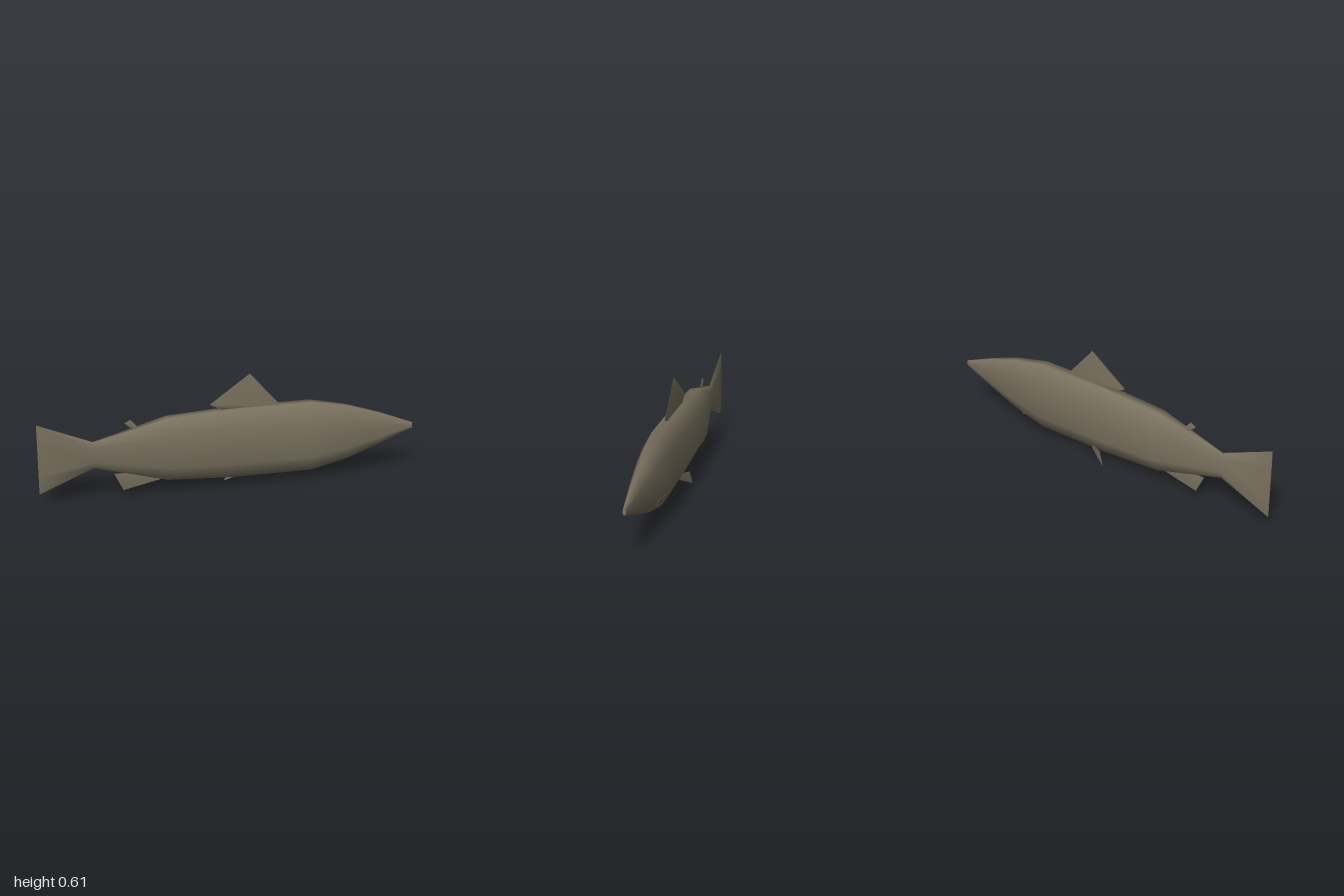
import * as THREE from 'three';

const skin = new THREE.MeshStandardMaterial({ color: 0x7a725f });
skin.name = 'olive brown skin';

function makeMesh(name, positions, indices) {
  const geometry = new THREE.BufferGeometry();
  geometry.setAttribute('position', new THREE.Float32BufferAttribute(positions, 3));
  geometry.setIndex(indices);
  geometry.computeVertexNormals();
  const mesh = new THREE.Mesh(geometry, skin);
  mesh.name = name;
  return mesh;
}

// Lofts an eight-sided section along x; each station is [x, bottom, top, half width]
function makeBody() {
  const centreZ = 0.005;
  const section = [
    [-1, 0.245], [-1, 0.755], [-0.33, 1], [0.33, 1],
    [1, 0.755], [1, 0.245], [0.33, 0], [-0.33, 0],
  ];
  const stations = [
    [-1, 0.058, 0.432, 0.003],
    [-0.72, 0.175, 0.315, 0.012],
    [-0.34, 0.077, 0.413, 0.07],
    [0, 0.057, 0.431, 0.074],
    [0.43, 0.054, 0.432, 0.075],
    [0.63, 0.096, 0.392, 0.054],
    [0.81, 0.157, 0.334, 0.032],
    [1, 0.228, 0.26, 0.008],
  ];
  const n = section.length;
  const positions = [];
  const indices = [];
  const addRing = ([x, bottom, top, half]) => {
    for (const [w, h] of section) {
      positions.push(x, bottom + (top - bottom) * h, centreZ + half * w);
    }
  };
  stations.forEach(addRing);
  for (let i = 0; i < stations.length - 1; i++) {
    for (let j = 0; j < n; j++) {
      const a = i * n + j;
      const b = i * n + (j + 1) % n;
      indices.push(a, b, b + n, a, b + n, a + n);
    }
  }
  // Separate end caps keep the tail edge and nose tip sharp
  const tail = positions.length / 3;
  addRing(stations[0]);
  const nose = positions.length / 3;
  addRing(stations[stations.length - 1]);
  for (let j = 1; j < n - 1; j++) {
    indices.push(tail, tail + j + 1, tail + j, nose, nose + j, nose + j + 1);
  }
  return makeMesh('bodyAndTail', positions, indices);
}

// Thin plate from corners [x, y, z, thickness]
function makeFin(name, corners) {
  const n = corners.length;
  const points = corners.map(([x, y, z]) => new THREE.Vector3(x, y, z));
  const normal = new THREE.Vector3();
  points.forEach((p, i) => normal.add(p.clone().cross(points[(i + 1) % n])));
  normal.normalize();
  const positions = [];
  for (const side of [0.5, -0.5]) {
    points.forEach((p, i) => {
      const q = p.clone().addScaledVector(normal, side * corners[i][3]);
      positions.push(q.x, q.y, q.z);
    });
  }
  const indices = [];
  for (let i = 1; i < n - 1; i++) {
    indices.push(0, i, i + 1, n, n + i + 1, n + i);
  }
  for (let i = 0; i < n; i++) {
    const j = (i + 1) % n;
    indices.push(i, n + i, n + j, i, n + j, j);
  }
  return makeMesh(name, positions, indices);
}

export function createModel() {
  const fish = new THREE.Group();
  fish.name = 'fish';
  fish.add(
    makeBody(),
    // Fins on the centre line
    makeFin('dorsalFin', [
      [-0.11, 0.46, 0.005, 0.01], [-0.03, 0.42, 0.005, 0.013],
      [0.27, 0.42, 0.005, 0.013], [0.1, 0.61, 0.005, 0.005],
    ]),
    makeFin('adiposeFin', [
      [-0.555, 0.4, 0.005, 0.005], [-0.505, 0.355, 0.005, 0.008],
      [-0.475, 0.36, 0.005, 0.008], [-0.525, 0.417, 0.005, 0.005],
    ]),
    makeFin('analFin', [
      [-0.615, 0.13, 0.005, 0.006], [-0.57, 0.036, 0.005, 0.006],
      [-0.35, 0.083, 0.005, 0.009], [-0.4, 0.13, 0.005, 0.009],
    ]),
    // Fins on the right flank only
    makeFin('pelvicFin', [
      [0.086, 0.055, -0.02, 0.005], [0.063, 0.085, -0.04, 0.005],
      [0.008, 0.075, -0.055, 0.005], [-0.02, 0.001, -0.064, 0.003],
    ]),
    makeFin('pectoralFin', [
      [0.465, 0.147, -0.077, 0.003], [0.587, 0.147, -0.048, 0.005],
      [0.577, 0.103, -0.026, 0.005], [0.556, 0.092, -0.034, 0.005],
    ]),
  );
  return fish;
}
